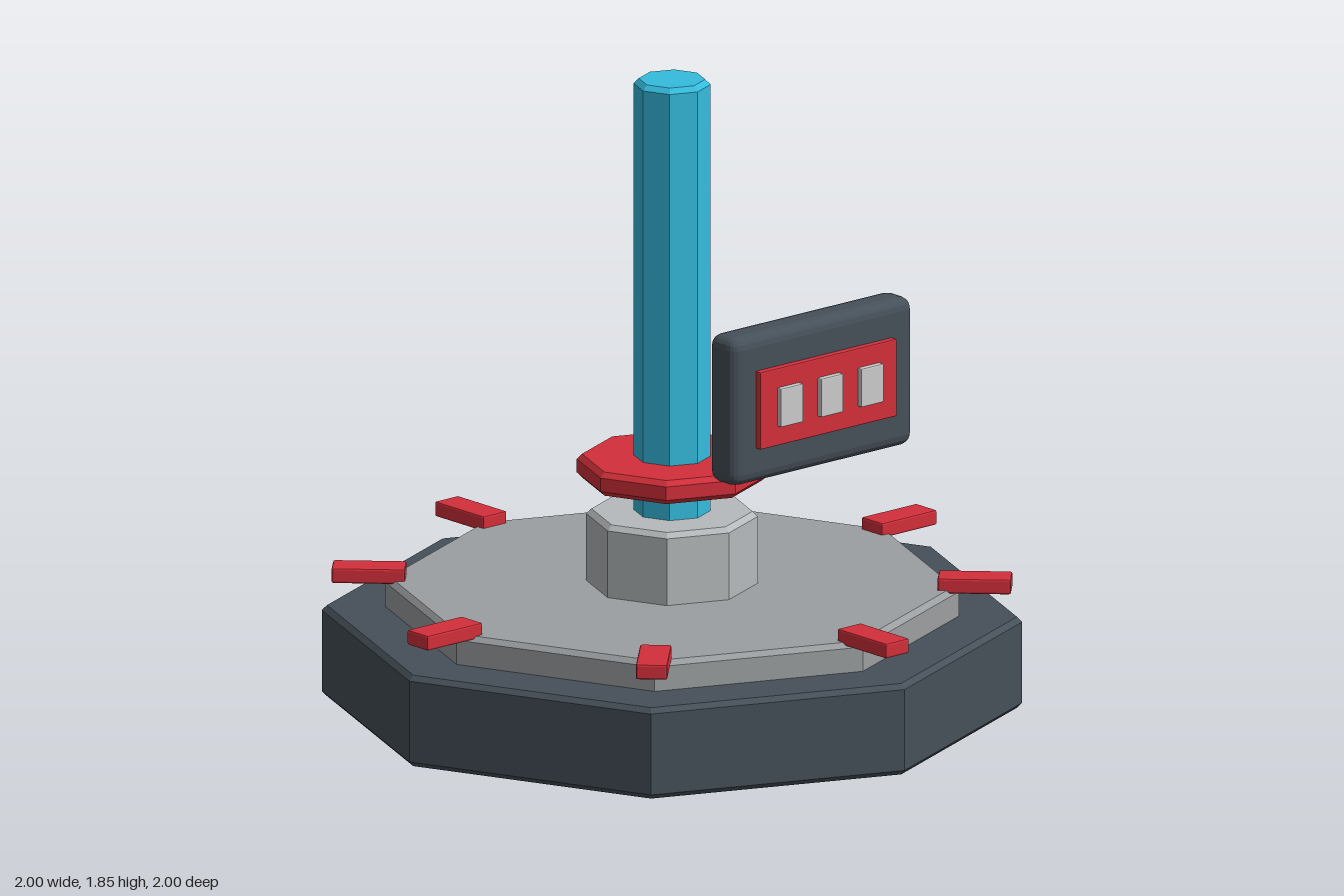
import * as THREE from 'three';
import { RoundedBoxGeometry } from 'three/addons/geometries/RoundedBoxGeometry.js';

const paint = (color) => new THREE.MeshStandardMaterial({ color, flatShading: true });
const dark = paint(0x465059);
const steel = paint(0x9c9fa1);
const lightSteel = paint(0xb6babc);
const red = paint(0xd32f3a);
const blue = paint(0x35bbde);
const white = paint(0xdcdcdc);

function add(parent, name, geometry, material, x = 0, y = 0, z = 0) {
  const mesh = new THREE.Mesh(geometry, material);
  mesh.name = name;
  mesh.position.set(x, y, z);
  parent.add(mesh);
  return mesh;
}

// Eight-sided disc with chamfered rims, corners on the x and z axes
function octagon(radius, bottom, top, chamfer) {
  const profile = [
    [0, bottom], [radius - chamfer, bottom], [radius, bottom + chamfer],
    [radius, top - chamfer], [radius - chamfer, top], [0, top],
  ].map(([r, y]) => new THREE.Vector2(r, y));
  return new THREE.LatheGeometry(profile, 8);
}

// Box with a small rounded edge
const block = (w, h, d, r) => new RoundedBoxGeometry(w, h, d, 1, r);

export function createModel() {
  const model = new THREE.Group();
  model.name = 'pedestal';

  // Stacked base, hub, post and collar
  add(model, 'base', octagon(1, 0, 0.27, 0.015), dark);
  add(model, 'deckPlate', octagon(0.82, 0.25, 0.357, 0.015), steel);
  add(model, 'hub', octagon(0.245, 0.34, 0.57, 0.015), lightSteel);
  add(model, 'post', octagon(0.11, 0.5, 1.85, 0.015), blue);
  add(model, 'collar', octagon(0.272, 0.662, 0.732, 0.015), red);

  // Clamps over each corner of the deck
  const clamps = new THREE.Group();
  clamps.name = 'clamps';
  for (let i = 0; i < 8; i++) {
    const angle = (i * Math.PI) / 4;
    const clamp = add(clamps, 'clamp', block(0.09, 0.045, 0.21, 0.006), red,
      Math.sin(angle) * 0.865, 0.37, Math.cos(angle) * 0.865);
    clamp.rotation.y = angle;
  }
  model.add(clamps);

  // Floating display panel with three windows
  const panel = new THREE.Group();
  panel.name = 'displayPanel';
  panel.position.set(0, 1.06, 0.597);
  add(panel, 'panelHousing', new RoundedBoxGeometry(0.69, 0.44, 0.115, 2, 0.035), dark);
  add(panel, 'panelFace', block(0.52, 0.23, 0.03, 0.004), red, 0, 0, 0.062);
  for (const x of [-0.153, 0, 0.153]) {
    add(panel, 'window', block(0.085, 0.115, 0.03, 0.004), white, x, 0, 0.078);
  }
  model.add(panel);

  return model;
}
